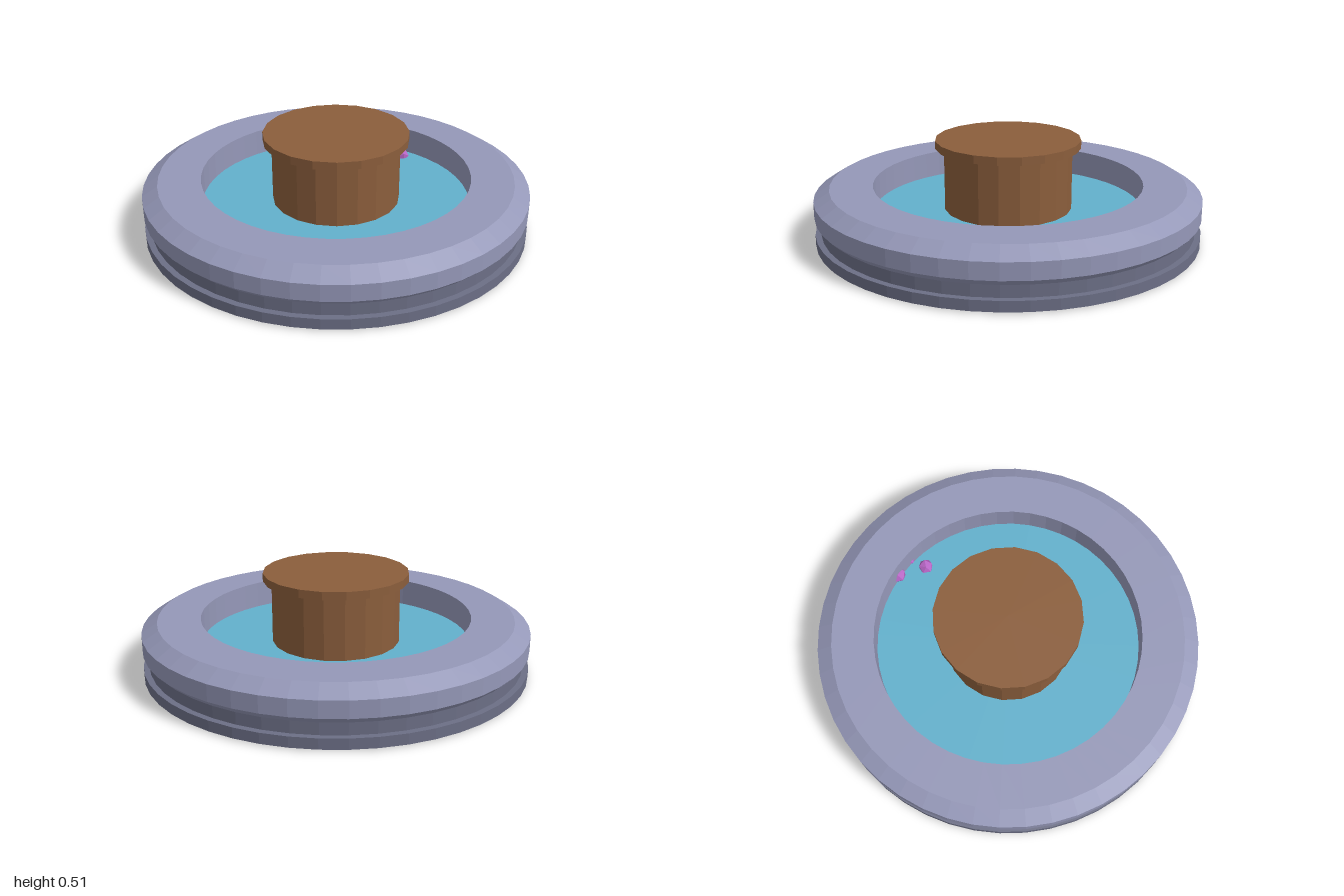
import * as THREE from 'three';

const mat = (name, color, flat = true) => {
  const m = new THREE.MeshStandardMaterial({ color });
  m.name = name;
  m.flatShading = flat;
  return m;
};

export function createModel() {
  const paleStone = mat('pale stone', 0x9598b8);
  const darkStone = mat('dark stone', 0x6c6f86);
  const water = mat('water', 0x62b0cc);
  const wood = mat('wood', 0x8b5e3c);
  const leaf = mat('leaf green', 0x3f8668);
  const blossom = mat('blossom purple', 0xb866c6);

  const model = new THREE.Group();
  const add = (name, geometry, material, x = 0, y = 0, z = 0, parent = model) => {
    const mesh = new THREE.Mesh(geometry, material);
    mesh.name = name;
    mesh.position.set(x, y, z);
    parent.add(mesh);
    return mesh;
  };
  const lathe = (points, sides) =>
    new THREE.LatheGeometry(points.map(([r, y]) => new THREE.Vector2(r, y)), sides);

  // Round basin: stepped plinth below, bevelled ring above
  add('plinth', lathe([[0, 0.007], [1, 0.007], [1, 0.06], [0.97, 0.06], [0.97, 0.12], [0.7, 0.12]], 48), darkStone);
  add('rimRing', lathe([[0.97, 0.12], [1, 0.15], [1, 0.235], [0.92, 0.285], [0.7, 0.285], [0.7, 0.11]], 48), paleStone);
  add('waterSurface', new THREE.CircleGeometry(0.702, 48).rotateX(-Math.PI / 2), water, 0, 0.143, 0);

  // Round wooden pedestal with an overhanging cap
  add('pedestalColumn', new THREE.CylinderGeometry(0.333, 0.333, 0.37, 20), wood, 0, 0.285, 0);
  add('pedestalCap', new THREE.CylinderGeometry(0.377, 0.377, 0.042, 20), wood, 0, 0.49, 0);

  // Feet of the pedestal, just showing under the plinth
  for (const degrees of [90, 210, 330]) {
    const a = THREE.MathUtils.degToRad(degrees);
    add('foot', new THREE.BoxGeometry(0.106, 0.009, 0.106), wood,
      0.28 * Math.cos(a), 0.006, 0.28 * Math.sin(a));
  }

  // Lobed patches set into the underside: each lobe is [x, z, radius]
  const patch = (name, material, x, z, lobes) => {
    const group = new THREE.Group();
    group.name = name;
    group.position.set(x, 0.005, z);
    lobes.forEach(([lx, lz, r], i) =>
      add('lobe', new THREE.CylinderGeometry(r, r, 0.008, 7), material, lx, i * 0.0003, lz, group));
    model.add(group);
  };
  const stones = [[0.11, 0.12, 0.1], [0.06, -0.07, 0.1], [-0.1, 0.01, 0.1]];
  patch('stoneClusterBack', darkStone, 0.27, -0.65, stones);
  patch('stoneClusterSide', darkStone, -0.58, 0.365, stones);
  patch('bushBase', leaf, 0.586, -0.432, [[0.02, 0, 0.14], [-0.03, -0.12, 0.1], [0.1, 0.06, 0.11], [-0.1, 0.08, 0.09]]);

  // Faceted blossoms at the water's edge
  for (const [x, y, z, r] of [[0.52, 0.15, -0.35, 0.042], [0.5, 0.165, -0.51, 0.048], [0.585, 0.16, -0.435, 0.04]]) {
    add('blossom', new THREE.IcosahedronGeometry(r, 0), blossom, x, y, z);
  }
  return model;
}
